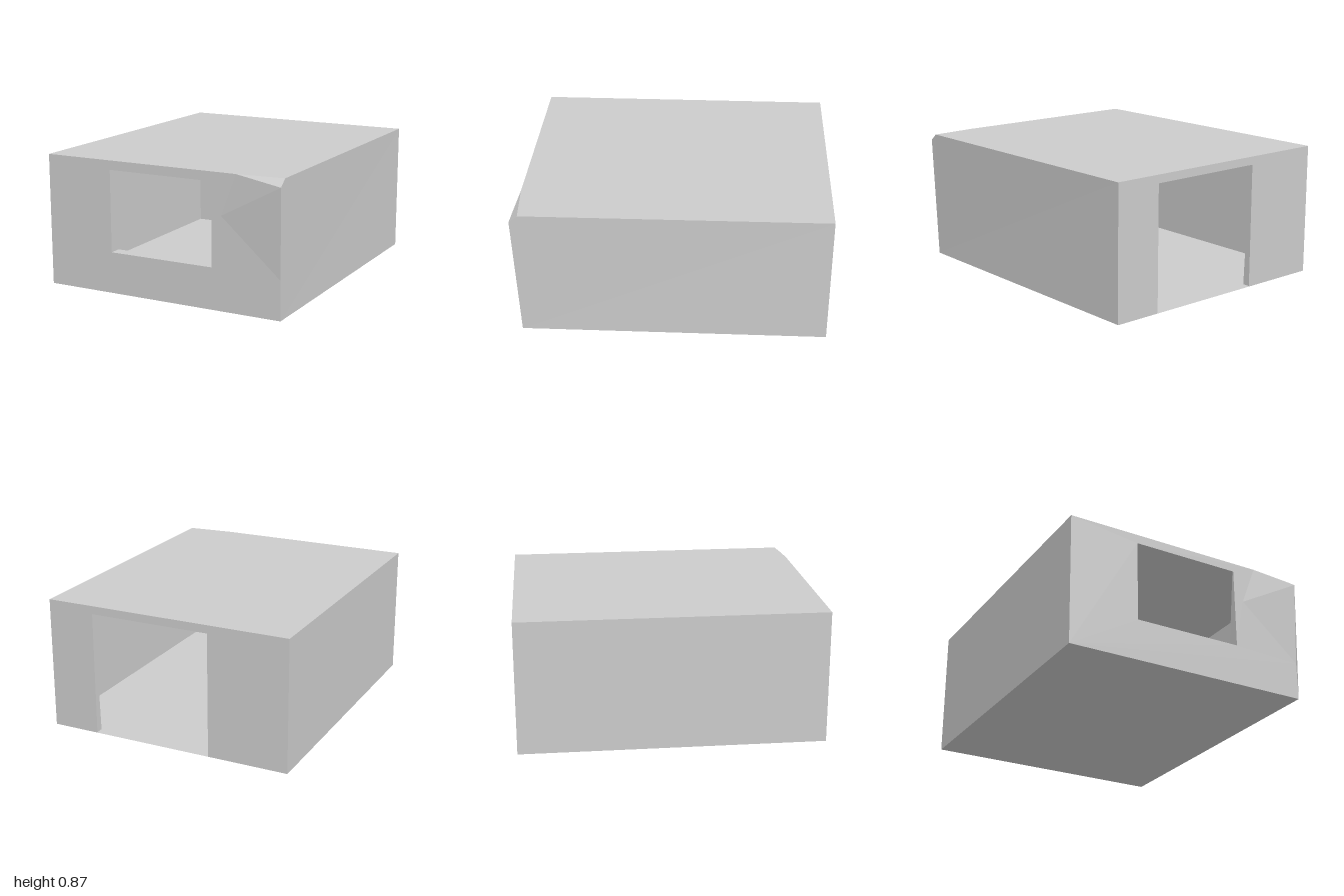
import * as THREE from 'three';

const L = -0.835, R = 0.82, H = 0.865, F = 0.97, B = -1;

const material = new THREE.MeshStandardMaterial({
  color: 0xcccccc, flatShading: true, side: THREE.DoubleSide,
});

function addMesh(parent, name, geometry) {
  const mesh = new THREE.Mesh(geometry, material);
  mesh.name = name;
  parent.add(mesh);
}

// Convex panel, corners counter-clockwise as seen from outside
function panel(parent, name, corners) {
  const positions = [];
  for (let i = 1; i < corners.length - 1; i++) {
    positions.push(...corners[0], ...corners[i], ...corners[i + 1]);
  }
  const geometry = new THREE.BufferGeometry();
  geometry.setAttribute('position', new THREE.Float32BufferAttribute(positions, 3));
  geometry.computeVertexNormals();
  addMesh(parent, name, geometry);
}

const shapeOf = (points) => new THREE.Shape(points.map(([x, y]) => new THREE.Vector2(x, y)));

// Thin lining around an opening, deeper at the bottom than at the top
function lining(parent, name, x0, x1, y0, y1, z, low, high) {
  const group = new THREE.Group();
  group.name = name;
  panel(group, 'sill', [[x0, y0, z], [x1, y0, z], [x1, y0, z + low], [x0, y0, z + low]]);
  panel(group, 'lintel', [[x0, y1, z], [x0, y1, z + high], [x1, y1, z + high], [x1, y1, z]]);
  for (const x of [x0, x1]) {
    panel(group, 'jamb', [[x, y0, z], [x, y0, z + low], [x, y1, z + high], [x, y1, z]]);
  }
  parent.add(group);
}

export function createModel() {
  const house = new THREE.Group();
  house.name = 'hollowRoom';

  // Corner points of the bent upper front corner
  const peak = [0.83, 0.82, 1.0];
  const roofTip = [0.83, H, 0.945];
  const roofBend = [0.52, H, F];
  const wallBend = [0.42, 0.6, F];
  const edgeBend = [R, 0.25, F];

  // Front wall with window
  const front = shapeOf([[L, 0], [R, 0], [R, 0.25], [0.42, 0.6], [0.52, H], [L, H]]);
  front.holes.push(shapeOf([[-0.37, 0.27], [-0.37, 0.805], [0.355, 0.805], [0.355, 0.27]]));
  addMesh(house, 'frontWall', new THREE.ShapeGeometry(front).translate(0, 0, F));
  panel(house, 'frontCornerBulge', [peak, roofBend, wallBend, edgeBend]);
  panel(house, 'cornerChamfer', [roofBend, peak, roofTip]);
  lining(house, 'windowLining', -0.37, 0.355, 0.27, 0.805, F, -0.08, -0.01);

  // Back wall, notched by a doorway down to the floor
  const back = shapeOf([
    [-R, 0], [-0.505, 0], [-0.505, 0.812], [0.3, 0.812], [0.3, 0], [-L, 0], [-L, H], [-R, H],
  ]);
  addMesh(house, 'backWall', new THREE.ShapeGeometry(back).rotateY(Math.PI).translate(0, 0, B));
  lining(house, 'doorLining', -0.3, 0.505, 0.004, 0.812, B, 0.05, 0.02);

  // Side walls, roof and floor
  panel(house, 'leftWall', [
    [R, 0, F], [R, 0, B], [R, H, B], roofTip, peak, edgeBend,
  ]);
  panel(house, 'rightWall', [[L, 0, B], [L, 0, F], [L, H, F], [L, H, B]]);
  panel(house, 'roof', [[L, H, F], roofBend, roofTip, [R, H, B], [L, H, B]]);
  panel(house, 'floor', [[L, 0, B], [R, 0, B], [R, 0, F], [L, 0, F]]);

  return house;
}
